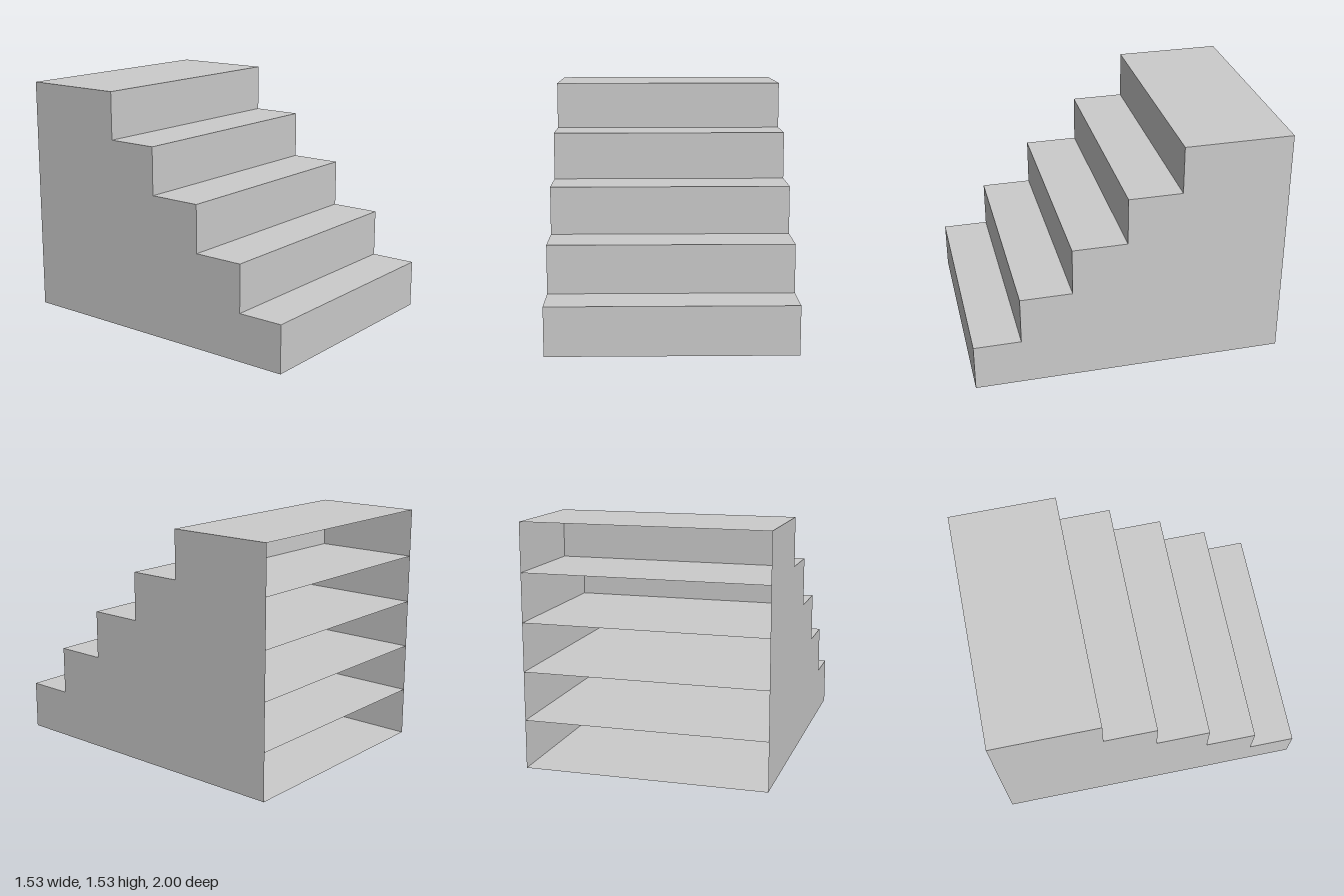
import * as THREE from 'three';

const HALF_WIDTH = 0.763;
const RISE = 0.306;
const BACK = -1;
const FRONTS = [1, 0.7, 0.37, 0.023, -0.316]; // z of each riser, bottom to top

export function createModel() {
  const group = new THREE.Group();
  group.name = 'staircase';
  const material = new THREE.MeshStandardMaterial({
    color: 0xcccccc, flatShading: true, side: THREE.DoubleSide,
  });
  const add = (name, geometry) => {
    const mesh = new THREE.Mesh(geometry, material);
    mesh.name = name;
    group.add(mesh);
    return mesh;
  };

  // Horizontal sheet from the open back to a given front edge
  const addSheet = (name, y, front) => {
    const sheet = new THREE.PlaneGeometry(2 * HALF_WIDTH, front - BACK).rotateX(-Math.PI / 2);
    add(name, sheet).position.set(0, y, (front + BACK) / 2);
  };

  // Floor, then a riser and a full-depth tread for each step
  addSheet('floor', 0, FRONTS[0]);
  FRONTS.forEach((front, i) => {
    add('riser', new THREE.PlaneGeometry(2 * HALF_WIDTH, RISE)).position.set(0, (i + 0.5) * RISE, front);
    addSheet('tread', (i + 1) * RISE, front);
  });

  // Stepped side walls, drawn with shape x = -z and turned to face outwards
  const profile = new THREE.Shape();
  profile.moveTo(-BACK, 0);
  profile.lineTo(-BACK, FRONTS.length * RISE);
  for (let i = FRONTS.length - 1; i >= 0; i--) {
    profile.lineTo(-FRONTS[i], (i + 1) * RISE);
    profile.lineTo(-FRONTS[i], i * RISE);
  }
  profile.closePath();
  const wall = new THREE.ShapeGeometry(profile).rotateY(Math.PI / 2);
  add('leftWall', wall).position.x = HALF_WIDTH;
  const rightWall = add('rightWall', wall);
  rightWall.position.x = -HALF_WIDTH;
  rightWall.scale.x = -1; // mirrored so its front faces outwards

  return group;
}
